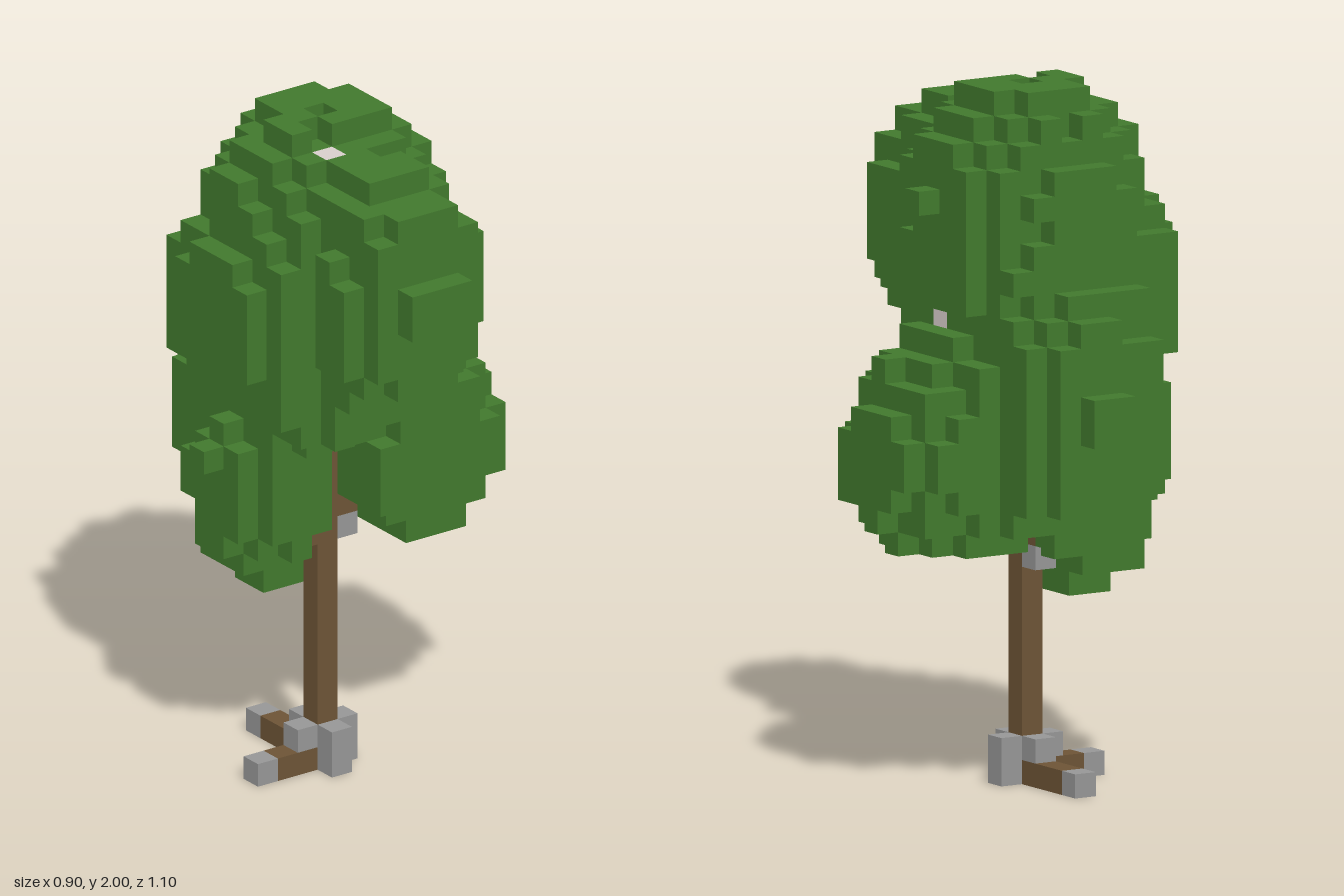
import * as THREE from 'three';
import { mergeGeometries } from 'three/addons/utils/BufferGeometryUtils.js';

const U = 2 / 29; // edge of one cube

const colours = { leaf: 0x41792d, wood: 0x6d5436, stone: 0x969696, blossom: 0xd8cfcc };

// Crown limits per layer, bottom up from layer 8: x from, x to, z from, z to
const FIRST = 8;
const layers = [
  [3, 5, -3, -1], [2, 5, -4, -1], [1, 12, -5, 2], [1, 13, -5, 2], [1, 13, -7, 3],
  [1, 13, -7, 3], [0, 13, -7, 3], [1, 13, -8, 3], [2, 13, -8, 4], [1, 12, -7, 4],
  [1, 10, -7, 5], [0, 9, -7, 7], [0, 10, -6, 7], [0, 10, -5, 7], [0, 10, -6, 8],
  [0, 10, -6, 8], [1, 10, -6, 7], [1, 10, -5, 7], [1, 10, -5, 7], [2, 9, -4, 5],
  [3, 8, -3, 2],
];
// Crown limits in plan, from back to front: x from, x to
const plan = [
  [5, 7], [3, 8], [2, 9], [1, 9], [1, 12], [0, 13], [0, 13], [0, 13],
  [0, 13], [0, 13], [1, 12], [3, 9], [2, 9], [2, 9], [3, 8], [4, 7],
];
// Leafy lobes: centre, radii
const lobes = [
  { c: [5.5, 24, -0.5], r: [4.8, 5.2, 4.6] },   // top of the crown
  { c: [4.8, 20.6, -0.5], r: [5.5, 6, 5.6] },   // middle of the crown
  { c: [5.5, 22.7, 4.4], r: [3.6, 5.3, 3.8] },  // upper front lobe
  { c: [9, 14, -0.5], r: [4.4, 4.6, 4] },       // lower side lobe
  { c: [5.8, 15.5, -4], r: [4.1, 5.4, 4.1] },   // lower back lobe
  { c: [4, 13, -1.8], r: [3.3, 4.4, 3.1] },     // opposite side lobe
  { c: [3.7, 10, -2], r: [2.1, 2.3, 2.1] },     // hanging tip
];

// Repeatable noise from 0 to 1
function noise(i, j, k) {
  const s = Math.sin(i * 12.9898 + j * 78.233 + k * 37.719) * 43758.5453;
  return s - Math.floor(s);
}

function isLeaf(i, j, k) {
  const layer = layers[j - FIRST], row = plan[k + 8];
  if (i < Math.max(layer[0], row[0]) || i >= Math.min(layer[1], row[1])) return false;
  if (k < layer[2] || k >= layer[3]) return false;
  // slot in front of the trunk and its side branches
  if (k >= 0 && ((i === 5 && j < 15) || (i === 4 && j === 10) || (i === 6 && j < 12))) return false;
  // open space around the side branch
  if (k >= -2 && j === 10 && (i === 6 || i === 7)) return false;
  // wells above the blossoms
  if (j === 28 && ((i === 4 && k === 1) || (i === 5 && k === -1))) return false;
  // ragged surface: clumps of cubes plus single cubes
  const limit = 1.12 - 0.16 * noise(i >> 1, j >> 1, k >> 1) - 0.16 * noise(i + 40, j, k);
  const p = [i + 0.5, j + 0.5, k + 0.5];
  return lobes.some(({ c, r }) =>
    p.reduce((sum, v, a) => sum + ((v - c[a]) / r[a]) ** 2, 0) < limit);
}

// Six faces of a cube: neighbour direction and a plane turned to match
const faces = [
  [[1, 0, 0], 0, Math.PI / 2], [[-1, 0, 0], 0, -Math.PI / 2],
  [[0, 1, 0], -Math.PI / 2, 0], [[0, -1, 0], Math.PI / 2, 0],
  [[0, 0, 1], 0, 0], [[0, 0, -1], 0, Math.PI],
].map(([dir, rx, ry]) => ({
  dir,
  plane: new THREE.PlaneGeometry(U, U).rotateX(rx).rotateY(ry)
    .translate(dir[0] * U / 2, dir[1] * U / 2, dir[2] * U / 2),
}));

export function createModel() {
  const model = new THREE.Group();
  model.name = 'tree';
  const cells = new Map();
  const put = (part, colour, i, j, k) => cells.set(`${i},${j},${k}`, { part, colour, at: [i, j, k] });

  // Foliage
  for (let j = FIRST; j < 29; j++)
    for (let i = 0; i < 13; i++)
      for (let k = -8; k < 8; k++) if (isLeaf(i, j, k)) put('foliage', 'leaf', i, j, k);
  put('foliage', 'leaf', 10, 24, -1);
  put('foliage', 'leaf', 0, 14, -2);

  // Trunk
  for (let j = 0; j < 15; j++) put('trunk', 'wood', 5, j, -1);

  // Roots and the stones around the foot
  for (const i of [3, 4]) put('roots', 'wood', i, 0, -1);
  for (const k of [-2, -3, -4]) put('roots', 'wood', 5, 0, k);
  put('rootTips', 'stone', 2, 0, -1);
  put('rootTips', 'stone', 5, 0, -5);
  for (const [i, k] of [[5, 0], [6, -1]])
    for (const j of [0, 1]) put('footStones', 'stone', i, j, k);
  put('footStones', 'stone', 4, 1, -1);
  put('footStones', 'stone', 5, 1, -2);

  // Branches with grey undersides
  put('branches', 'wood', 4, 10, -1);
  put('branches', 'wood', 6, 11, -1);
  put('branches', 'wood', 5, 10, -2);
  put('branchUndersides', 'stone', 6, 10, -1);
  put('branchUndersides', 'stone', 5, 9, -2);

  // Blossoms
  put('blossoms', 'blossom', 4, 27, 1);
  put('blossoms', 'blossom', 5, 27, -1);
  put('blossoms', 'blossom', 8, 19, 0);

  // Collect the exposed faces of each part
  const parts = {};
  for (const { part, colour, at: [i, j, k] } of cells.values()) {
    const entry = (parts[part] ??= { colour, list: [] });
    for (const { dir, plane } of faces) {
      if (cells.has(`${i + dir[0]},${j + dir[1]},${k + dir[2]}`)) continue;
      entry.list.push(plane.clone().translate((i - 6) * U, (j + 0.5) * U, (k + 0.5) * U));
    }
  }

  const materials = {};
  for (const [name, color] of Object.entries(colours)) {
    materials[name] = new THREE.MeshStandardMaterial({ color });
    materials[name].name = name;
  }
  for (const [name, { colour, list }] of Object.entries(parts)) {
    const mesh = new THREE.Mesh(mergeGeometries(list), materials[colour]);
    mesh.name = name;
    model.add(mesh);
  }
  return model;
}
